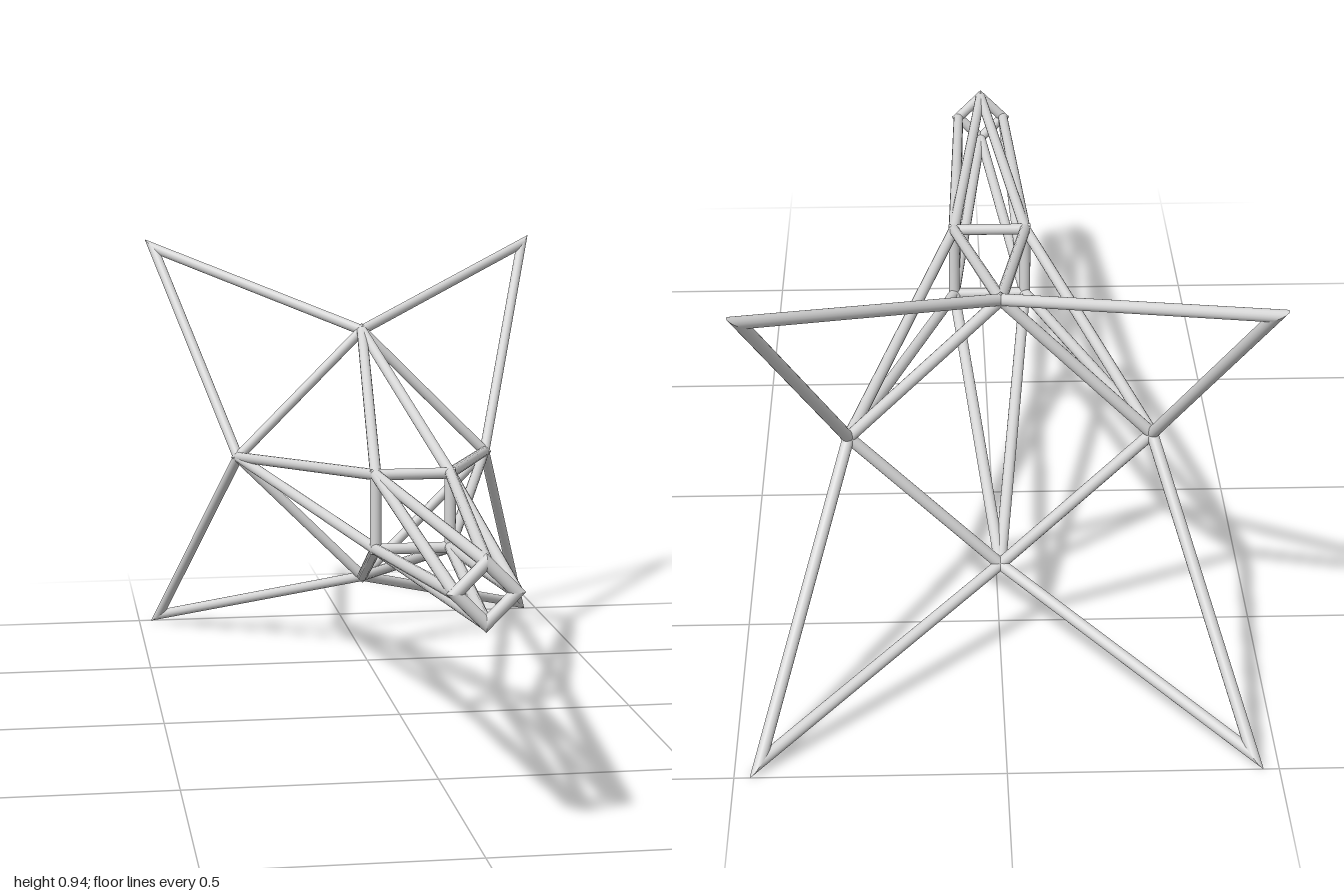
import * as THREE from 'three';

const R = 0.0115, SIDES = 16, MID = 0.472;
const Z = new THREE.Vector3(0, 0, 1);

// Bar from a to b; its ends are cut along planes with normals na and nb (square cut by default)
function barGeometry(a, b, na, nb) {
  const d = b.clone().sub(a), len = d.length();
  d.normalize();
  const u = d.clone().cross(Z).normalize();
  const v = u.clone().cross(d);
  const geo = new THREE.CylinderGeometry(R, R, len, SIDES);
  geo.applyMatrix4(new THREE.Matrix4().makeBasis(u, d, v).setPosition(a.clone().lerp(b, 0.5)));
  const pos = geo.attributes.position, p = new THREE.Vector3();
  for (let i = 0; i < pos.count; i++) {
    p.fromBufferAttribute(pos, i);
    const atEnd = p.clone().sub(a).dot(d) > len / 2;
    const n = (atEnd ? nb : na) || d, o = atEnd ? b : a;
    p.addScaledVector(d, -p.clone().sub(o).dot(n) / d.dot(n));
    pos.setXYZ(i, p.x, p.y, p.z);
  }
  return geo;
}

// Four corner points around the long axis
const corners = (radius, z, turn) => [0, 1, 2, 3].map(i => {
  const t = (i + turn) * Math.PI / 2;
  return new THREE.Vector3(radius * Math.cos(t), MID + radius * Math.sin(t), z);
});

export function createModel() {
  const model = new THREE.Group();
  model.name = 'strutFrame';
  const steel = new THREE.MeshStandardMaterial({ color: 0xd6d6d6 });
  steel.name = 'lightGreySteel';

  const group = name => {
    const g = new THREE.Group();
    g.name = name;
    model.add(g);
    return g;
  };
  const bar = (parent, name, ...ends) => {
    const mesh = new THREE.Mesh(barGeometry(...ends), steel);
    mesh.name = name;
    parent.add(mesh);
  };

  // Closed loop of bars with mitred corners
  const loop = (name, pts) => {
    const g = group(name), n = pts.length;
    const dir = i => pts[(i + 1) % n].clone().sub(pts[i % n]).normalize();
    const mitre = i => dir(i + n - 1).add(dir(i)).normalize();
    pts.forEach((p, i) => bar(g, name + 'Bar', p, pts[(i + 1) % n], mitre(i), mitre(i + 1)));
  };

  // Each diamond corner joins the two nearest square corners
  const zigzag = (name, diamond, square) => {
    const g = group(name);
    diamond.forEach((p, i) => {
      bar(g, name + 'Bar', p, square[i]);
      bar(g, name + 'Bar', p, square[(i + 3) % 4]);
    });
  };

  const nose = corners(0.054, 0.9885, 0);
  const waist = corners(0.0765 * Math.SQRT2, 0.18, 0.5);
  const shoulder = corners(0.288, -0.577, 0);
  const tips = corners(0.452 * Math.SQRT2, -0.977, 0.5);

  loop('noseDiamond', nose);
  loop('waistSquare', waist);
  loop('shoulderDiamond', shoulder);
  loop('petals', shoulder.flatMap((p, i) => [p, tips[i]]));
  zigzag('noseStruts', nose, waist);
  zigzag('bodyStruts', shoulder, waist);

  // Small fillers where bars meet
  const joints = group('joints');
  const ball = new THREE.SphereGeometry(R, SIDES, 8);
  for (const p of [...waist, ...shoulder]) {
    const joint = new THREE.Mesh(ball, steel);
    joint.name = 'joint';
    joint.position.copy(p);
    joints.add(joint);
  }
  return model;
}
